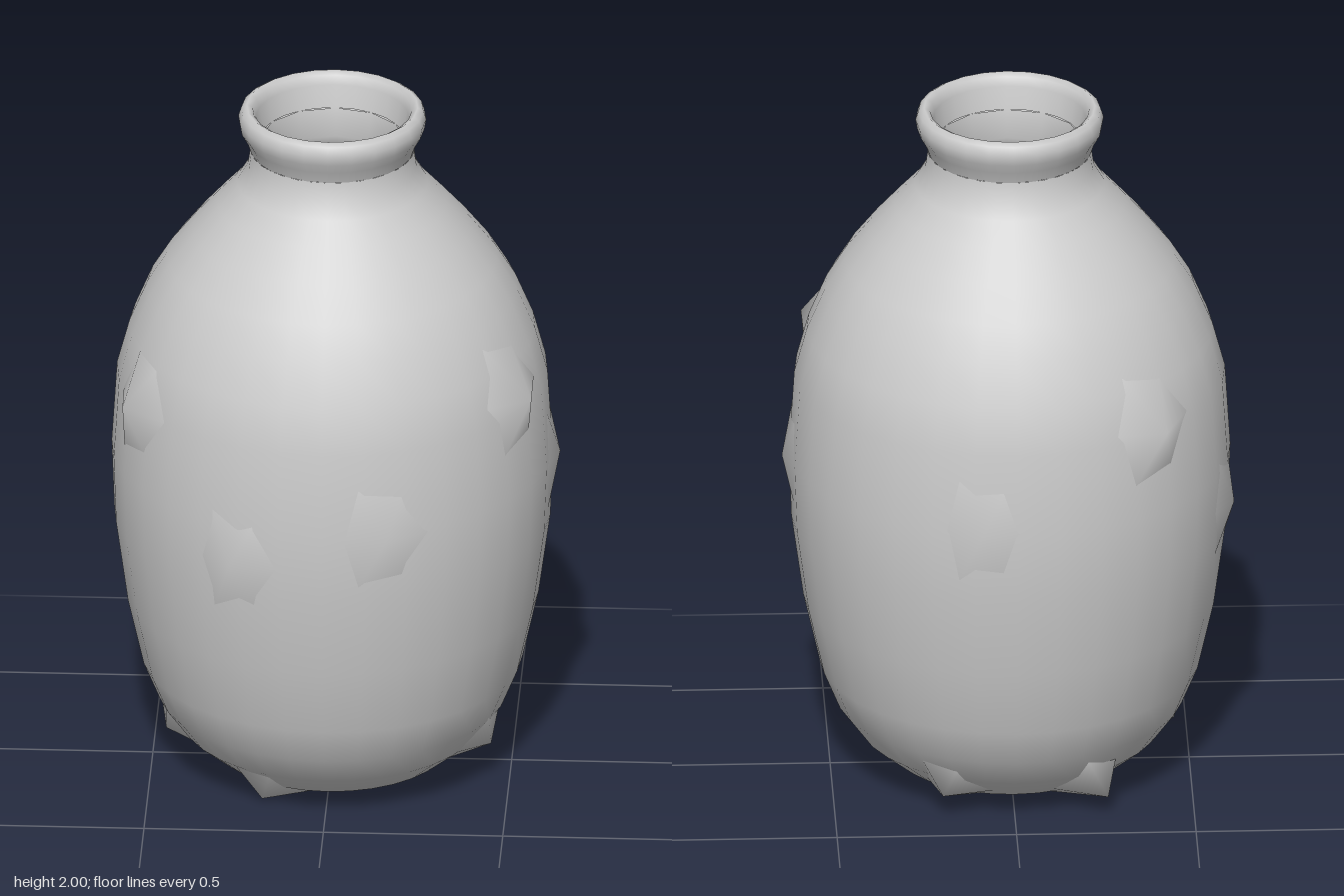
import * as THREE from 'three';

// Outer wall from foot to lip, as [radius, height]
const OUTER = [
  [0.23, 0], [0.33, 0.045], [0.42, 0.12], [0.485, 0.21], [0.53, 0.32], [0.575, 0.52], [0.608, 0.76],
  [0.615, 0.96], [0.6, 1.2], [0.565, 1.33], [0.515, 1.45], [0.46, 1.54], [0.39, 1.63],
  [0.32, 1.71], [0.265, 1.77], [0.235, 1.82], [0.228, 1.87],
];
const LIP = [
  [0.24, 1.905], [0.257, 1.935], [0.262, 1.965], [0.254, 1.99], [0.238, 2.0], [0.222, 1.99], [0.213, 1.965],
];
const INNER = [
  [0.2, 1.9], [0.185, 1.82], [0.215, 1.76], [0.33, 1.63], [0.45, 1.46], [0.54, 1.2],
  [0.56, 0.96], [0.55, 0.76], [0.48, 0.34], [0.36, 0.13], [0.2, 0.06], [0, 0.05],
];

const material = new THREE.MeshStandardMaterial({ color: 0xcccccc, side: THREE.DoubleSide });

function lathe(name, points, sides) {
  const geometry = new THREE.LatheGeometry(points.map(([r, y]) => new THREE.Vector2(r, y)), sides);
  const mesh = new THREE.Mesh(geometry, material);
  mesh.name = name;
  return mesh;
}

// Radius of the outer wall at a height
function wallRadius(y) {
  for (let i = 1; i < OUTER.length; i++) {
    const [r0, y0] = OUTER[i - 1], [r1, y1] = OUTER[i];
    if (y <= y1) return r0 + (r1 - r0) * Math.max(0, (y - y0) / (y1 - y0));
  }
  return OUTER[OUTER.length - 1][0];
}

// Raised shard: a shallow fan from a tip down to an irregular ring on the wall
function shard([x, y, z], width, height) {
  const angle = Math.atan2(x, z), positions = [x, y, z], index = [], n = 6;
  for (let i = 0; i < n; i++) {
    const t = (i / n) * Math.PI * 2, k = i % 2 ? 0.8 : 1;
    const py = Math.max(0, y + Math.sin(t) * height * k);
    const r = wallRadius(py) - 0.006;
    const a = angle + (Math.cos(t) * width * k) / Math.max(r, 0.3);
    positions.push(Math.sin(a) * r, py, Math.cos(a) * r);
    index.push(0, 1 + i, 1 + ((i + 1) % n));
  }
  const geometry = new THREE.BufferGeometry();
  geometry.setAttribute('position', new THREE.Float32BufferAttribute(positions, 3));
  geometry.setIndex(index);
  geometry.computeVertexNormals();
  const mesh = new THREE.Mesh(geometry, material);
  mesh.name = 'shard';
  return mesh;
}

export function createModel() {
  const vase = new THREE.Group();
  vase.name = 'vase';

  // Body with a closed foot, rolled lip and coarse inside wall
  vase.add(lathe('body', OUTER, 32));
  vase.add(lathe('lip', [OUTER[OUTER.length - 1], ...LIP, INNER[0]], 24));
  vase.add(lathe('innerWall', INNER, 12));
  const foot = new THREE.Mesh(new THREE.CircleGeometry(0.23, 32), material);
  foot.rotation.x = Math.PI / 2;
  foot.name = 'foot';
  vase.add(foot);

  // Uneven corners standing out from the wall
  const shards = new THREE.Group();
  shards.name = 'shards';
  const tips = [
    [0.635, 0.95, -0.01], [0.1, 0.97, -0.63], [-0.42, 1.22, -0.5], [0.57, 1.25, 0.3],
    [-0.57, 1.2, 0.3], [0.18, 0.95, 0.62], [-0.26, 0.85, 0.59], [-0.62, 0.85, -0.15],
  ];
  for (const tip of tips) shards.add(shard(tip, 0.16, 0.2));
  const lowTips = [[-0.46, 0.1, 0.05], [0.45, 0.12, 0.15], [-0.18, 0.01, 0.31], [-0.26, 0.06, -0.39], [0.2, 0.07, -0.39]];
  for (const tip of lowTips) shards.add(shard(tip, 0.12, 0.14));
  vase.add(shards);

  return vase;
}
